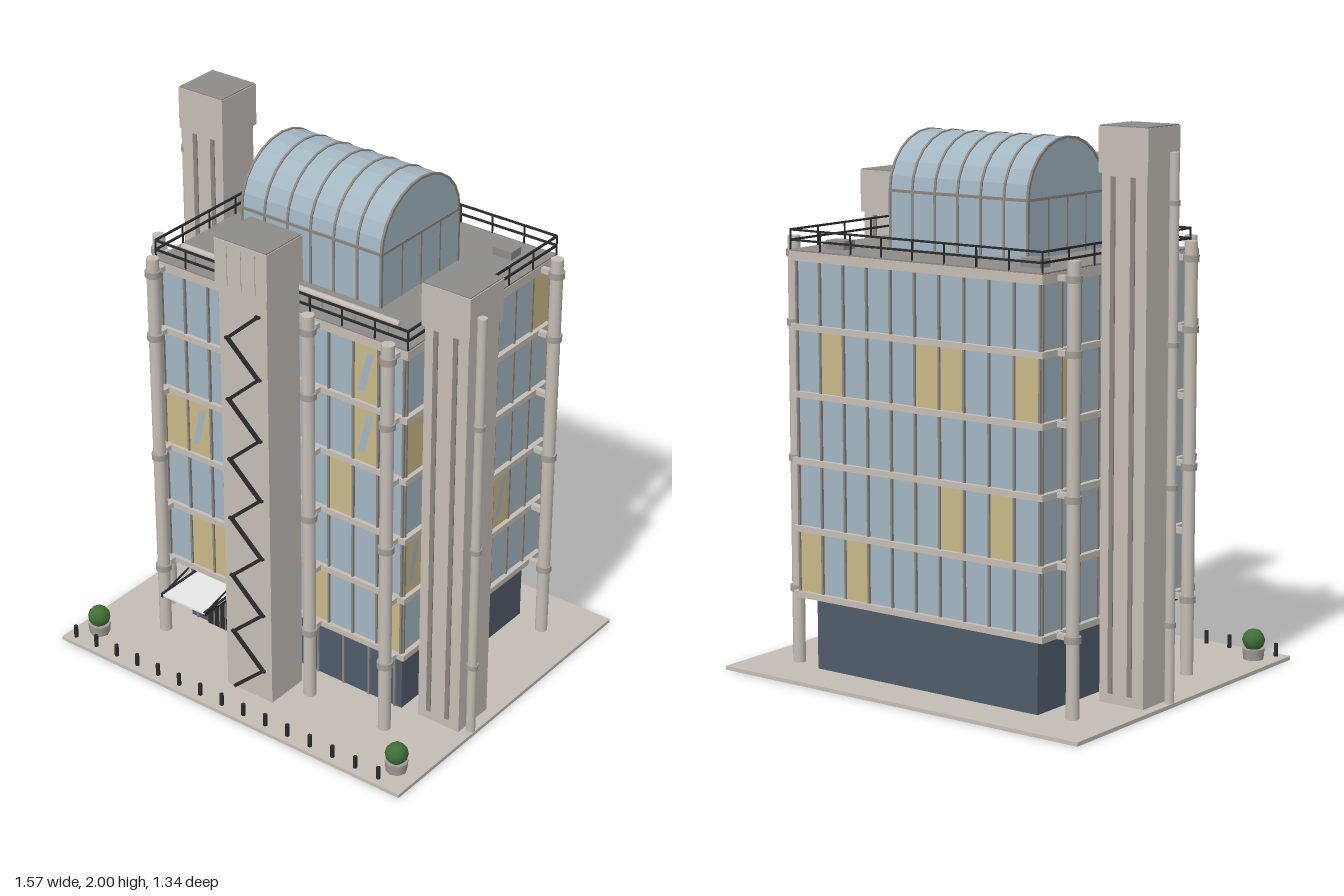
import * as THREE from 'three';

const mat = (name, color) => {
  const m = new THREE.MeshStandardMaterial({ color });
  m.name = name;
  return m;
};

export function createModel() {
  const root = new THREE.Group();
  const stone = mat('stone', 0xc4bdb5), steel = mat('steel', 0xa39d96), roofGrey = mat('roof grey', 0x8e8b88);
  const glass = mat('glass', 0xa2b6c2), amber = mat('lit window', 0xc9b987), navy = mat('dark glazing', 0x505b6a);
  const frame = mat('window frame', 0x8b857e), black = mat('black metal', 0x2a2a2d);
  const green = mat('foliage', 0x416f38), white = mat('canopy white', 0xf2f2f2);

  const add = (parent, name, geo, material, x = 0, y = 0, z = 0) => {
    const m = new THREE.Mesh(geo, material);
    m.name = name;
    m.position.set(x, y, z);
    parent.add(m);
    return m;
  };
  // Box given by its limits on each axis
  const box = (parent, name, material, x0, x1, y0, y1, z0, z1) =>
    add(parent, name, new THREE.BoxGeometry(x1 - x0, y1 - y0, z1 - z0), material,
      (x0 + x1) / 2, (y0 + y1) / 2, (z0 + z1) / 2);
  const rod = (parent, name, material, r, x, y0, y1, z, sides = 16) =>
    add(parent, name, new THREE.CylinderGeometry(r, r, y1 - y0, sides), material, x, (y0 + y1) / 2, z);
  const group = (name, x = 0, y = 0, z = 0) => {
    const g = new THREE.Group();
    g.name = name;
    g.position.set(x, y, z);
    root.add(g);
    return g;
  };

  // Plaza and main volumes
  box(root, 'plaza', stone, -0.78, 0.78, 0, 0.014, -0.67, 0.67);
  box(root, 'groundFloor', navy, -0.49, 0.49, 0.014, 0.285, -0.495, 0.26);
  box(root, 'glassBody', glass, -0.53, 0.53, 0.285, 1.5, -0.535, 0.32);
  const levels = [0.295, 0.535, 0.78, 1.02, 1.26, 1.51];
  levels.slice(0, 5).forEach(y =>
    box(root, 'floorSlab', stone, -0.55, 0.55, y - 0.011, y + 0.011, -0.553, 0.335));
  box(root, 'roofSlab', stone, -0.55, 0.55, 1.495, 1.528, -0.555, 0.335);
  box(root, 'roofDeck', roofGrey, -0.548, 0.548, 1.528, 1.534, -0.553, 0.333);

  // Facades: mullions, lit windows [floor, panel] and slanted glints
  const facade = (name, x, z, angle, n, lit, glints = []) => {
    const g = group(name, x, 0, z), w = 1.06 / 10, half = n * w / 2;
    g.rotation.y = angle;
    for (let f = 0; f < 5; f++) {
      for (let i = 0; i <= n; i++) {
        const u = -half + i * w;
        box(g, 'mullion', frame, u - 0.004, u + 0.004, levels[f], levels[f + 1], 0, 0.009);
      }
    }
    lit.forEach(([f, i]) =>
      box(g, 'litWindow', amber, -half + i * w, -half + (i + 1) * w, levels[f], levels[f + 1], 0, 0.003));
    glints.forEach(([f, i]) => {
      const s = new THREE.Shape();
      [[0.02, 0.05], [0.048, 0.05], [0.086, 0.205], [0.058, 0.205]].forEach(([a, b], k) =>
        k ? s.lineTo(a, b) : s.moveTo(a, b));
      add(g, 'glint', new THREE.ShapeGeometry(s), glass, -half + i * w, levels[f], 0.006);
    });
  };
  facade('frontFacade', 0, 0.32, 0, 10,
    [[0, 1], [0, 2], [0, 6], [0, 9], [1, 3], [2, 0], [2, 1], [2, 7], [3, 8], [4, 8]],
    [[1, 3], [2, 1], [3, 8], [4, 8]]);
  facade('rightFacade', 0.53, -0.108, Math.PI / 2, 8,
    [[4, 3], [4, 7], [3, 0], [1, 0], [1, 2], [1, 5]], [[1, 0], [1, 5]]);
  facade('backFacade', 0, -0.535, Math.PI, 10,
    [[3, 1], [3, 5], [3, 6], [3, 9], [1, 6], [1, 8], [0, 0], [0, 2]]);
  facade('leftFacade', -0.53, -0.108, -Math.PI / 2, 8, [[3, 1], [1, 6], [2, 5]]);

  // Entrance: shop-front bars, doors and hung canopy
  const entrance = group('entrance');
  box(entrance, 'transom', frame, -0.49, 0.49, 0.245, 0.253, 0.26, 0.267);
  for (let i = -4; i <= 4; i++)
    box(entrance, 'groundMullion', frame, i * 0.115 - 0.004, i * 0.115 + 0.004, 0.014, 0.285, 0.26, 0.266);
  box(entrance, 'door', black, -0.405, -0.29, 0.014, 0.19, 0.26, 0.268);
  [-0.375, -0.3475, -0.32].forEach(x =>
    box(entrance, 'doorBar', frame, x - 0.002, x + 0.002, 0.014, 0.19, 0.26, 0.271));
  box(entrance, 'canopy', white, -0.45, -0.238, 0.232, 0.239, 0.26, 0.48);
  [-0.445, -0.243].forEach(x => {
    box(entrance, 'canopyBeam', black, x - 0.005, x + 0.005, 0.226, 0.242, 0.26, 0.48);
    const tie = box(entrance, 'canopyTie', black, x - 0.003, x + 0.003, 0.258, 0.262, 0.3, 0.46);
    tie.rotation.x = 0.25;
  });

  // Round columns with collars and brackets back to the building
  const collars = [0.29, 0.77, 1.26, 1.51];
  const column = (x, z) => {
    const g = group('column');
    rod(g, 'columnShaft', stone, 0.023, x, 0.014, 1.57, z, 20);
    collars.forEach(y => rod(g, 'columnCollar', steel, 0.029, x, y - 0.012, y + 0.012, z, 20));
    levels.forEach(y => Math.abs(x) > 0.55
      ? box(g, 'bracket', stone, Math.min(x, Math.sign(x) * 0.54), Math.max(x, Math.sign(x) * 0.54),
        y - 0.01, y + 0.01, z - 0.01, z + 0.01)
      : box(g, 'bracket', stone, x - 0.01, x + 0.01, y - 0.01, y + 0.01, 0.32, z));
  };
  [[-0.61, -0.46], [0.61, -0.46], [-0.61, 0.24], [-0.51, 0.39], [-0.175, 0.39], [0.175, 0.39], [0.51, 0.39]]
    .forEach(([x, z]) => column(x, z));

  // Service towers with cap boxes
  const tower = (name, x0, x1, z0, z1, capY, top) => {
    const g = group(name);
    box(g, 'shaft', stone, x0 + 0.009, x1 - 0.009, 0.014, capY, z0 + 0.009, z1 - 0.009);
    box(g, 'cap', stone, x0, x1, capY, top - 0.004, z0, z1);
    box(g, 'capRoof', roofGrey, x0 + 0.003, x1 - 0.003, top - 0.004, top, z0 + 0.003, z1 - 0.003);
    return g;
  };
  const sideTower = (name, s, z0, z1, capY, top, pipeZ, pipeTop) => {
    const g = tower(name, s < 0 ? -0.75 : 0.55, s < 0 ? -0.55 : 0.745, z0, z1, capY, top);
    [0.605, 0.685].forEach(x => [z0 + 0.008, z1 - 0.008].forEach(z =>
      box(g, 'groove', frame, s * x - 0.009, s * x + 0.009, 0.05, capY - 0.01, z - 0.003, z + 0.003)));
    rod(g, 'pipe', stone, 0.017, s * 0.762, 0.014, pipeTop, pipeZ);
    [0.29, 0.77, 1.26, 1.74].filter(y => y < pipeTop).forEach(y =>
      rod(g, 'pipeCollar', steel, 0.021, s * 0.762, y - 0.009, y + 0.009, pipeZ));
  };
  sideTower('leftTower', -1, -0.24, -0.05, 1.84, 2, -0.1, 1.91);
  sideTower('rightTower', 1, 0.07, 0.262, 1.6, 1.76, 0.215, 1.675);

  // Front tower with zigzag stair
  const stairTower = tower('stairTower', -0.112, 0.112, 0.335, 0.527, 1.655, 1.83);
  [-0.06, 0, 0.06].forEach(x =>
    box(stairTower, 'capRib', stone, x - 0.003, x + 0.003, 1.66, 1.81, 0.526, 0.53));
  const rise = 0.12, run = 0.132;
  for (let i = 0; i < 13; i++) {
    const s = i % 2 ? -1 : 1, y = 0.02 + i * rise;
    const flight = add(stairTower, 'stairFlight',
      new THREE.BoxGeometry(Math.hypot(rise, run), 0.012, 0.014), black, 0, y + rise / 2, 0.522);
    flight.rotation.z = s * Math.atan2(rise, run);
    box(stairTower, 'landing', black, s * 0.066 - 0.01, s * 0.066 + 0.01,
      y + rise - 0.004, y + rise + 0.004, 0.515, 0.529);
  }

  // Rooftop glass vault: profile runs along x
  const arch = (r, h) => {
    const s = new THREE.Shape();
    s.moveTo(-r, 0);
    s.lineTo(r, 0);
    s.lineTo(r, h);
    s.absellipse(0, h, r, r * 0.905, 0, Math.PI, false);
    return s;
  };
  const slice = (shape, depth) => new THREE.ExtrudeGeometry(shape, { depth, bevelEnabled: false, curveSegments: 6 })
    .translate(0, 0, -depth / 2).rotateY(Math.PI / 2);
  const vault = group('roofVault', 0, 1.53, -0.075);
  add(vault, 'vaultGlass', slice(arch(0.224, 0.205), 0.604), glass);
  const ring = arch(0.228, 0.205);
  ring.holes.push(arch(0.218, 0.205));
  for (let i = -3; i <= 3; i++) add(vault, 'vaultRib', slice(ring, 0.009), frame, i * 0.1);
  [-1, 1].forEach(s => {
    box(vault, 'vaultSill', frame, -0.304, 0.304, 0.2, 0.21, s * 0.225 - 0.004, s * 0.225 + 0.004);
    box(vault, 'endSill', frame, s * 0.302 - 0.003, s * 0.302 + 0.003, 0.2, 0.21, -0.224, 0.224);
    [-0.11, 0, 0.11].forEach(z =>
      box(vault, 'endMullion', frame, s * 0.302 - 0.003, s * 0.302 + 0.003, 0, 0.205, z - 0.004, z + 0.004));
  });

  // Roof railing
  const railing = group('roofRailing');
  const X = 0.547, Z0 = -0.55, Z1 = 0.33, t = 0.0035;
  [1.567, 1.603].forEach(y => {
    [Z0, Z1].forEach(z => box(railing, 'rail', black, -X, X, y - t, y + t, z - t, z + t));
    [-X, X].forEach(x => box(railing, 'rail', black, x - t, x + t, y - t, y + t, Z0, Z1));
  });
  for (let i = 0; i <= 8; i++) [Z0, Z1].forEach(z =>
    rod(railing, 'post', black, t, -X + i * X / 4, 1.53, 1.605, z, 6));
  for (let i = 1; i < 6; i++) [-X, X].forEach(x =>
    rod(railing, 'post', black, t, x, 1.53, 1.605, Z0 + i * (Z1 - Z0) / 6, 6));

  // Roof pipe on stands and hatch boxes
  const track = group('roofPipe');
  add(track, 'pipeRun', new THREE.CylinderGeometry(0.012, 0.012, 0.94, 12).rotateZ(Math.PI / 2), stone, 0, 1.58, 0.272);
  for (let i = -3; i <= 3; i++) rod(track, 'pipeStand', steel, 0.005, i * 0.14, 1.53, 1.575, 0.272, 8);
  box(root, 'roofHatch', roofGrey, -0.472, -0.392, 1.53, 1.565, -0.462, -0.402);
  box(root, 'roofHatch', roofGrey, 0.372, 0.452, 1.53, 1.565, -0.47, -0.408);

  // Bollards and planters
  for (let i = 0; i < 15; i++) rod(root, 'bollard', black, 0.008, -0.738 + i * 0.1005, 0.014, 0.062, 0.638, 8);
  [-0.69, 0.69].forEach(x => {
    const g = group('planter', x, 0, 0.56);
    add(g, 'pot', new THREE.CylinderGeometry(0.042, 0.038, 0.04, 8), steel, 0, 0.034, 0);
    add(g, 'bush', new THREE.IcosahedronGeometry(0.042, 1), green, 0, 0.085, 0);
  });
  return root;
}
